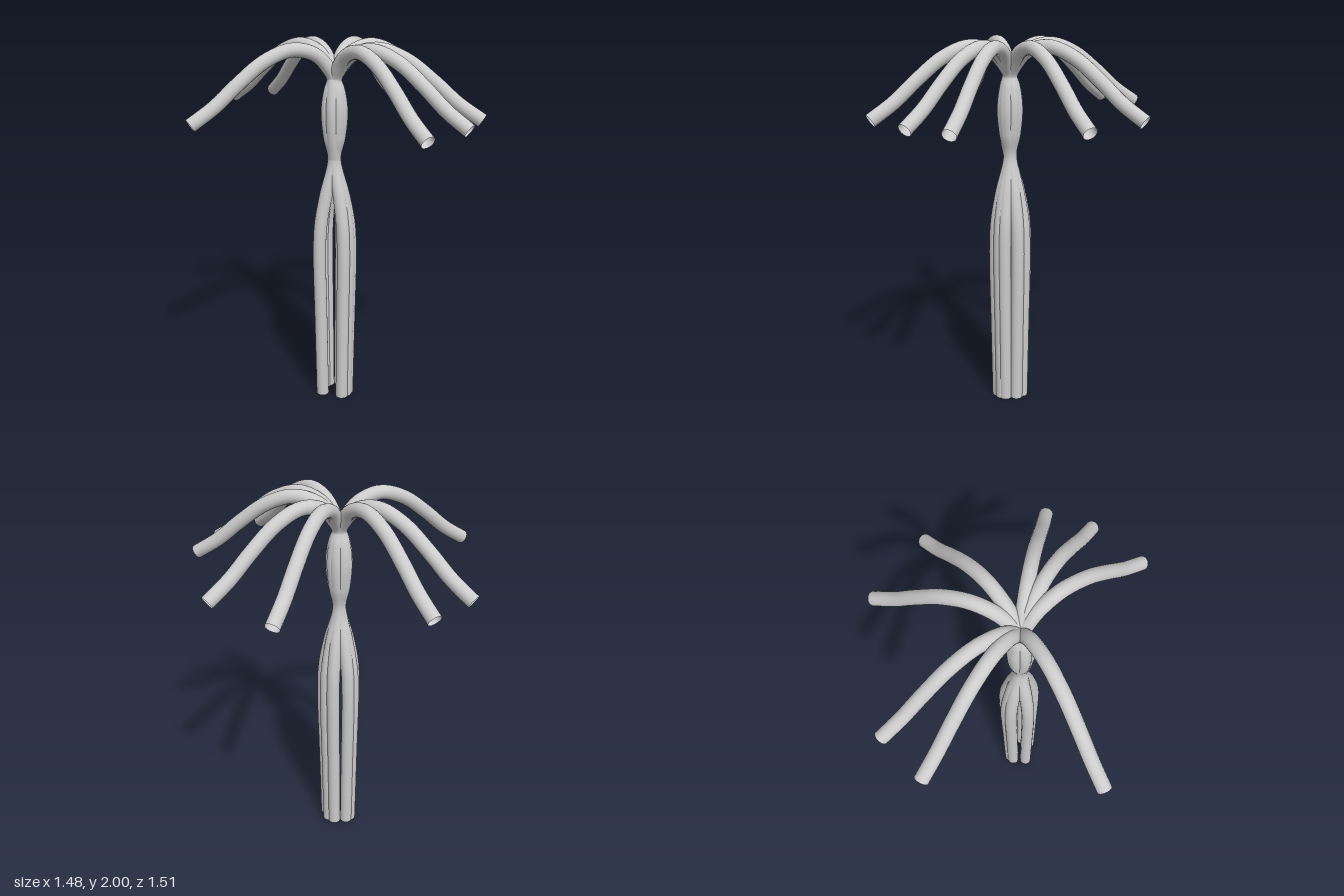
import * as THREE from 'three';

const RADIUS = 0.035;
const AXIS_X = -0.013;

// Strand path as [distance from axis, height]
const STALK = [[0.075, 0], [0.082, 0.45], [0.088, 0.9], [0.079, 1.05], [0.05, 1.2], [0.0, 1.4]];
const BULGE = [[0.025, 1.52], [0.036, 1.65], [0.022, 1.75]];
const ARM = [[0.003, 1.81], [0.035, 1.87], [0.1, 1.935], [0.22, 1.965], [0.36, 1.92],
  [0.5, 1.82], [0.62, 1.72], [0.742, 1.642]];

// Direction of each strand in degrees, from +x towards +z
const ANGLES = [8.3, 56.6, 75, 98.7, 197.8, 262, 282.6, 338];

const material = new THREE.MeshStandardMaterial({ color: 0xcccccc, side: THREE.DoubleSide });

function strand(name, profile, degrees, segments) {
  const a = THREE.MathUtils.degToRad(degrees);
  const points = profile.map(([r, y]) => new THREE.Vector3(r * Math.cos(a), y, r * Math.sin(a)));
  const curve = new THREE.CatmullRomCurve3(points, false, 'centripetal');
  const mesh = new THREE.Mesh(new THREE.TubeGeometry(curve, segments, RADIUS, 20, false), material);
  mesh.name = name;
  return mesh;
}

export function createModel() {
  const model = new THREE.Group();
  model.name = 'strandTree';

  // Strands bundled into a trunk, pinched at the waist and neck, then drooping outwards
  const strands = new THREE.Group();
  strands.name = 'strands';
  strands.position.x = AXIS_X;
  ANGLES.forEach((angle, i) => {
    strands.add(strand(`strand${i + 1}`, [...STALK, ...BULGE, ...ARM], angle, 100));
  });

  // Short strand filling the gap in the bulge between waist and neck
  strands.add(strand('bulgeStrand', [[0, 1.4], ...BULGE, [0.003, 1.81]], 148, 24));

  model.add(strands);
  return model;
}
